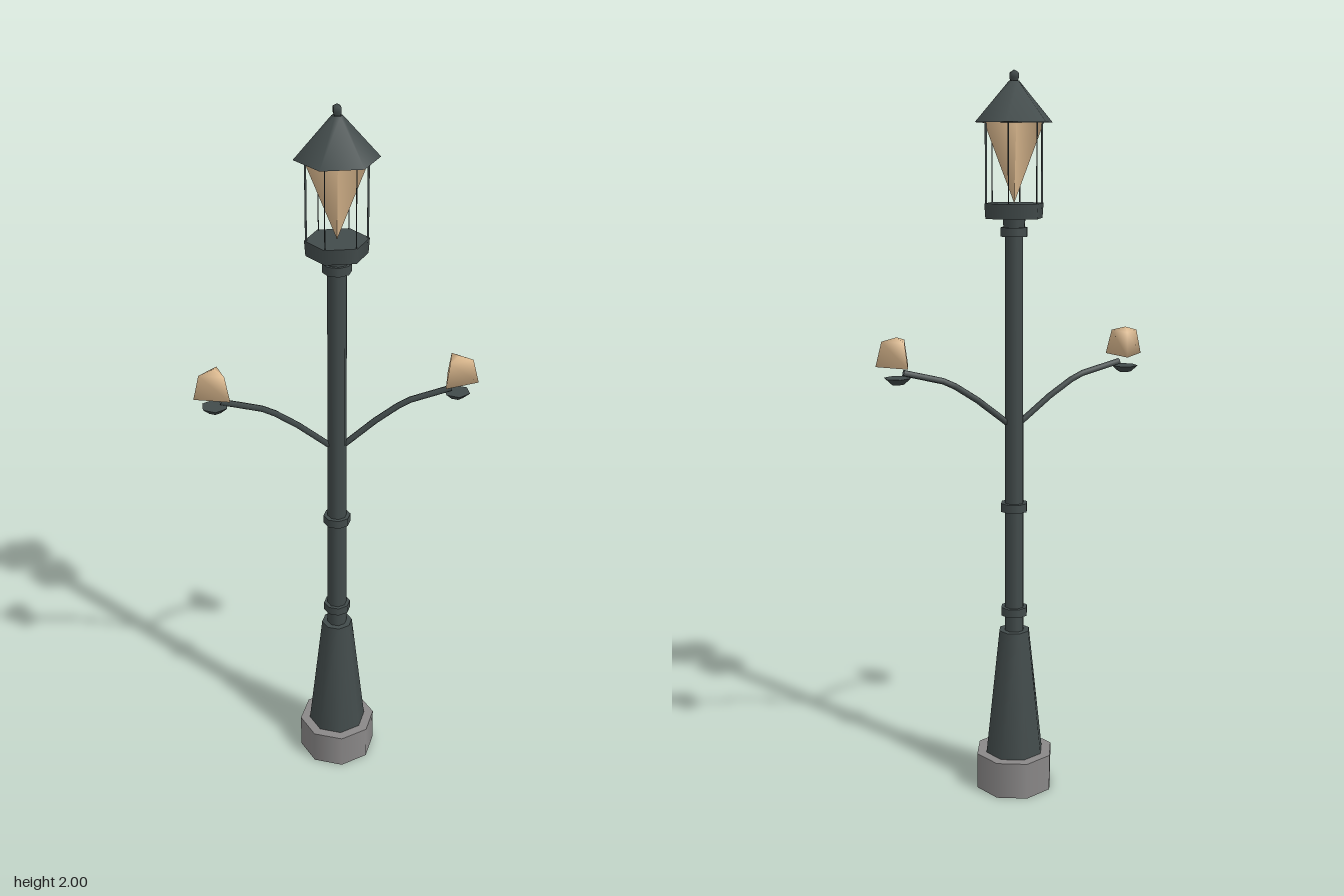
import * as THREE from 'three';

const mat = (name, color, side = THREE.FrontSide) => {
  const m = new THREE.MeshStandardMaterial({ color, side });
  m.name = name;
  return m;
};

export function createModel() {
  const iron = mat('dark iron', 0x424b4b, THREE.DoubleSide);
  const stone = mat('grey stone', 0x8a8888);
  const glow = mat('warm lamp glass', 0xe0bd92, THREE.DoubleSide);

  const model = new THREE.Group();
  model.name = 'streetLamp';

  const add = (name, geometry, material, parent = model) => {
    const mesh = new THREE.Mesh(geometry, material);
    mesh.name = name;
    parent.add(mesh);
    return mesh;
  };
  // Upright prism between two heights, first corner at the given angle from +z
  const prism = (name, rTop, rBottom, y0, y1, sides, material, angle = 0, parent = model) => {
    const g = new THREE.CylinderGeometry(rTop, rBottom, y1 - y0, sides, 1, false, angle);
    g.translate(0, (y0 + y1) / 2, 0);
    return add(name, g, material, parent);
  };

  // Footing, tapered pedestal and pole
  prism('footing', 0.112, 0.112, 0, 0.105, 8, stone);
  prism('pedestal', 0.044, 0.084, 0.105, 0.47, 8, iron);
  prism('pole', 0.025, 0.028, 0.47, 1.62, 8, iron);
  for (const y of [0.527, 0.83, 1.585]) {
    prism('poleRing', 0.038, 0.038, y - 0.012, y + 0.012, 8, iron);
  }
  prism('neck', 0.032, 0.03, 1.595, 1.625, 8, iron);

  // Lantern: tray, thin bars, inner glass, roof and finial
  const lantern = new THREE.Group();
  lantern.name = 'lantern';
  model.add(lantern);
  const hex = Math.PI / 2;
  prism('lanternTray', 0.083, 0.08, 1.62, 1.66, 6, iron, hex, lantern);
  for (let i = 0; i < 6; i++) {
    const a = (i * Math.PI) / 3;
    const onAxis = i % 3 === 0;
    const bar = add('lanternBar',
      new THREE.BoxGeometry(onAxis ? 0.005 : 0.002, 0.215, onAxis ? 0.002 : 0.005), iron, lantern);
    bar.position.set(0.078 * Math.cos(a), 1.765, 0.078 * Math.sin(a));
  }
  const glass = prism('lanternGlass', 0.083, 0, 1.66, 1.868, 4, glow, 0, lantern);
  glass.scale.z = 0.2;
  prism('lanternRoof', 0.014, 0.108, 1.867, 1.972, 6, iron, hex, lantern);
  const finial = new THREE.LatheGeometry(
    [[0.008, 1.965], [0.014, 1.98], [0.013, 1.993], [0, 2]].map(p => new THREE.Vector2(...p)),
    4, Math.PI / 4);
  add('finial', finial, iron, lantern);

  // Two curved side arms, each with a small cup and a three-sided shade
  for (const s of [1, -1]) {
    const arm = new THREE.Group();
    arm.name = s > 0 ? 'leftArm' : 'rightArm';
    model.add(arm);

    const path = new THREE.CurvePath();
    const pts = [[0.015, 1.065], [0.105, 1.137], [0.185, 1.19], [0.31, 1.222]]
      .map(([x, y]) => new THREE.Vector3(s * x, y, 0));
    for (let i = 0; i < 3; i++) path.add(new THREE.LineCurve3(pts[i], pts[i + 1]));
    add('bracket', new THREE.TubeGeometry(path, 9, 0.009, 5), iron, arm);

    const cup = prism('lampCup', 0.037, 0.018, 1.193, 1.21, 6, iron, 0, arm);
    cup.position.x = s * 0.326;

    const profile = [[0, 1.24], [0.057, 1.24], [0.04, 1.307], [0, 1.318]];
    const shade = add('lampShade',
      new THREE.LatheGeometry(profile.map(p => new THREE.Vector2(...p)), 3, s * 1.32), glow, arm);
    shade.position.x = s * 0.326;
  }

  return model;
}
